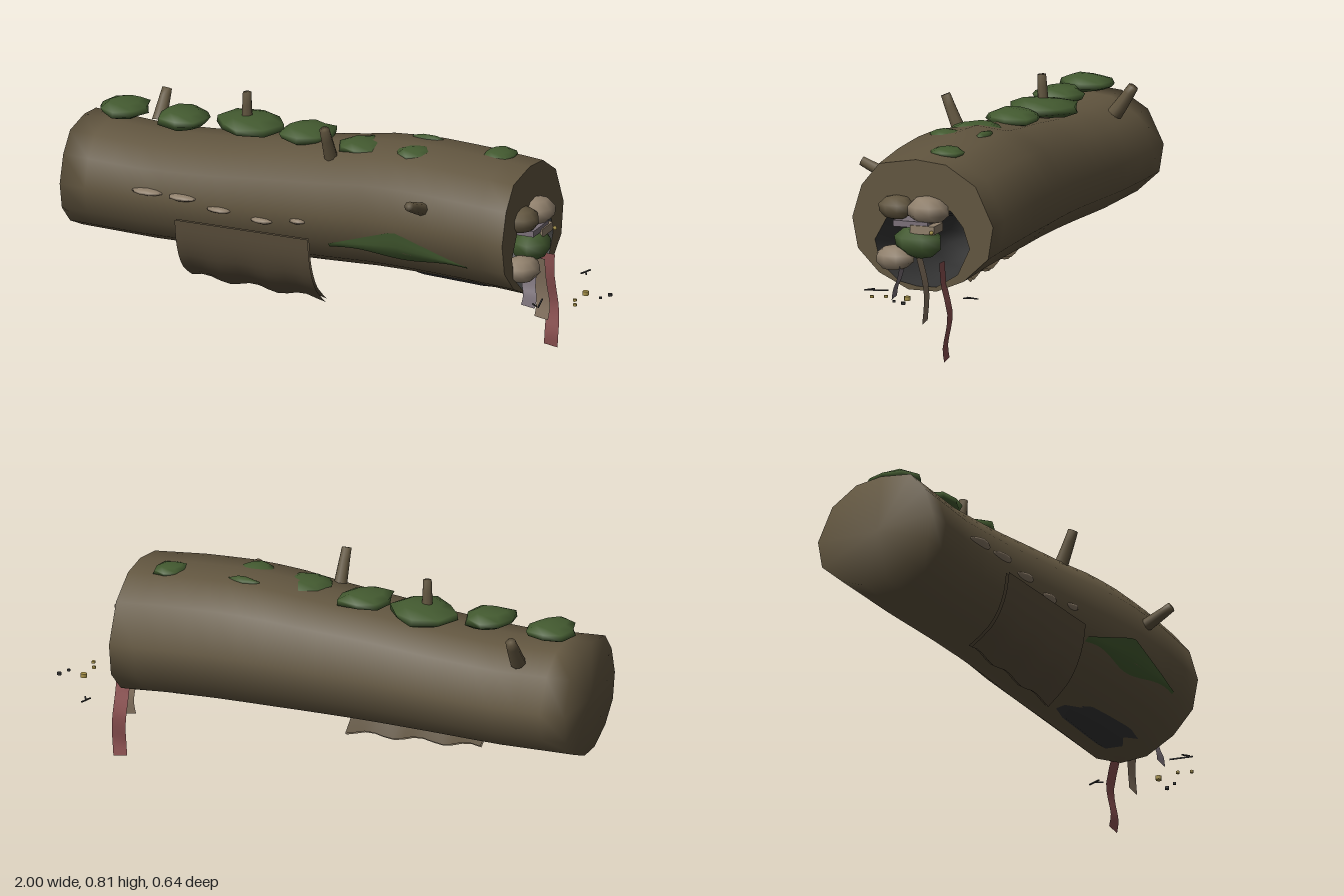
import * as THREE from 'three';
import { mergeVertices } from 'three/addons/utils/BufferGeometryUtils.js';

const mat = (name, color, side = THREE.FrontSide) => {
  const m = new THREE.MeshStandardMaterial({ color, side });
  m.name = name;
  return m;
};

// log profile stations: x, top y, bottom y, front z, back z
const stations = [
  [-1, 0.65, 0.248, 0.19, -0.28], [-0.7, 0.635, 0.24, 0.185, -0.263], [-0.45, 0.65, 0.246, 0.193, -0.26],
  [-0.2, 0.68, 0.253, 0.2, -0.27], [0, 0.7, 0.258, 0.21, -0.29], [0.15, 0.722, 0.262, 0.218, -0.312],
  [0.3, 0.73, 0.262, 0.228, -0.318], [0.5, 0.722, 0.256, 0.234, -0.316], [0.71, 0.705, 0.24, 0.225, -0.303],
];
// unit cross-section (z, y), starting at the upper front and going over the top to the back
const section = [[0.62, 0.9], [0.1, 1], [-0.33, 0.95], [-0.75, 0.65], [-1, 0.05], [-0.93, -0.45], [-0.58, -0.82],
  [-0.2, -1], [0.2, -1], [0.62, -0.77], [0.92, -0.42], [1, 0.05], [0.87, 0.55]];

function stationAt(x) {
  let k = 0;
  while (k < stations.length - 2 && x > stations[k + 1][0]) k++;
  const a = stations[k], b = stations[k + 1], t = (x - a[0]) / (b[0] - a[0]);
  return a.map((v, i) => v + (b[i] - v) * t);
}

function ringAt(x) {
  const [, top, bottom, front, back] = stationAt(x);
  return section.map(([u, v]) => [x, (top + bottom) / 2 + v * (top - bottom) / 2, (front + back) / 2 + u * (front - back) / 2]);
}

// z of the log's front surface at a given x and y
function frontZ(x, y) {
  const r = ringAt(x), side = [8, 9, 10, 11, 12, 0, 1].map((i) => r[i]);
  for (let i = 0; i < 6; i++) {
    const a = side[i], b = side[i + 1];
    if (y <= b[1]) return a[2] + (b[2] - a[2]) * (y - a[1]) / (b[1] - a[1]);
  }
  return side[6][2];
}

// skin over a series of rings, with the first ring closed
function loft(rings) {
  const n = rings[0].length, index = [];
  for (let k = 0; k < rings.length - 1; k++) {
    for (let i = 0; i < n; i++) {
      const a = k * n + i, b = k * n + (i + 1) % n;
      index.push(a, a + n, b, b, a + n, b + n);
    }
  }
  const points = rings.flat();
  const centre = [0, 1, 2].map((c) => rings[0].reduce((s, p) => s + p[c], 0) / n);
  points.push(centre);
  for (let i = 0; i < n; i++) index.push(points.length - 1, i, (i + 1) % n);
  const g = new THREE.BufferGeometry();
  g.setAttribute('position', new THREE.Float32BufferAttribute(points.flat(), 3));
  g.setIndex(index);
  g.computeVertexNormals();
  return g;
}

// lumpy low-poly ellipsoid
function lump(rx, ry, rz, seed, amount = 0.12, segments = 8) {
  let g = new THREE.SphereGeometry(1, segments, 5);
  g.deleteAttribute('uv');
  g.deleteAttribute('normal');
  g = mergeVertices(g, 1e-3);
  const p = g.attributes.position;
  for (let i = 0; i < p.count; i++) {
    const x = p.getX(i), y = p.getY(i), z = p.getZ(i);
    const s = 1 + amount * Math.sin(3.1 * x + 2.3 * z + 1.7 * y + seed * 2.4);
    p.setXYZ(i, x * s * rx, y * s * ry, z * s * rz);
  }
  g.computeVertexNormals();
  return g;
}

// bend a plane by a rule from (u, v), both 0 to 1, with v up
function sheet(nu, nv, rule) {
  const g = new THREE.PlaneGeometry(1, 1, nu, nv), p = g.attributes.position;
  for (let i = 0; i < p.count; i++) p.setXYZ(i, ...rule(p.getX(i) + 0.5, p.getY(i) + 0.5));
  g.computeVertexNormals();
  return g;
}

export function createModel() {
  const model = new THREE.Group();
  model.name = 'hollowLog';
  const bark = mat('bark', 0x61553f);
  const barkSheet = mat('barkSheet', 0x5a4e3b, THREE.DoubleSide);
  const moss = mat('moss', 0x435a30);
  const hollow = mat('hollow', 0x363636, THREE.DoubleSide);
  const tan = mat('tan', 0x8f7f6b);
  const grey = mat('greyCloth', 0x7a7078, THREE.DoubleSide);
  const red = mat('redCloth', 0x8a5050, THREE.DoubleSide);
  const tanCloth = mat('tanCloth', 0x857360, THREE.DoubleSide);
  const gold = mat('gold', 0xa8934a);
  const add = (name, geometry, material, x = 0, y = 0, z = 0) => {
    const m = new THREE.Mesh(geometry, material);
    m.name = name;
    m.position.set(x, y, z);
    model.add(m);
    return m;
  };

  // log body
  const rings = [];
  for (let i = 0; i <= 18; i++) rings.push(ringAt(-1 + 1.71 * i / 18));
  add('logBody', loft(rings), bark);

  // open end face with the hollow's mouth (z, y)
  const mouth = [[0.14, 0.41], [0.12, 0.33], [0.05, 0.268], [-0.02, 0.254], [-0.09, 0.256], [-0.17, 0.305],
    [-0.215, 0.4], [-0.19, 0.475], [-0.145, 0.53], [-0.03, 0.55], [0.08, 0.52]];
  const face = new THREE.Shape(ringAt(0.71).map(([, y, z]) => new THREE.Vector2(-z, y)));
  face.holes.push(new THREE.Path(mouth.map(([z, y]) => new THREE.Vector2(-z, y))));
  add('endFace', new THREE.ShapeGeometry(face).rotateY(Math.PI / 2), bark, 0.71);

  // tapering cavity, its floor worn through the underside
  const cavity = [[0.2, 0.55, 0.268], [0.32, 0.65, 0.249], [0.55, 0.85, 0.244], [0.71, 1, 0.254]];
  add('cavity', loft(cavity.map(([x, s, floor]) =>
    mouth.map(([z, y]) => [x, floor + (y - 0.254) * s, -0.045 + (z + 0.045) * s]))), hollow);

  // moss clumps along the top: x, y, z, radius x, height, radius z
  [[-0.86, 0.688, -0.05, 0.092, 0.03, 0.1], [-0.62, 0.688, -0.03, 0.094, 0.034, 0.1],
    [-0.385, 0.69, -0.07, 0.122, 0.034, 0.12], [-0.155, 0.696, -0.045, 0.104, 0.03, 0.105],
    [0.08, 0.697, 0.005, 0.085, 0.024, 0.09], [0.285, 0.708, 0.03, 0.07, 0.022, 0.065],
    [0.57, 0.709, -0.075, 0.06, 0.019, 0.07], [0.28, 0.718, -0.105, 0.055, 0.014, 0.02],
  ].forEach(([x, y, z, rx, ry, rz], i) => add('mossClump', lump(rx, ry, rz, i), moss, x, y, z));

  // moss patch on the front flank
  add('mossPatch', sheet(18, 4, (u, v) => {
    const x = 0.03 + 0.54 * u;
    const height = 0.012 + 0.093 * Math.max(0, 1 - Math.abs(x - 0.29) / 0.27);
    const y = 0.373 + 0.01 * Math.sin(u * 9) * (1 - v) + height * v;
    return [x, y, frontZ(x, y) + 0.004];
  }), moss);

  // broken branch stubs
  [[[-0.785, 0.6, -0.18], [-0.785, 0.655, -0.22], [-0.785, 0.702, -0.25], 0.028],
    [[-0.395, 0.62, -0.065], [-0.395, 0.72, -0.063], [-0.393, 0.806, -0.058], 0.024],
    [[0, 0.64, 0.085], [0, 0.71, 0.118], [-0.003, 0.793, 0.152], 0.027],
    [[0.395, 0.56, 0.17], [0.395, 0.585, 0.24], [0.392, 0.617, 0.312], 0.026],
  ].forEach(([a, b, c, r]) => {
    const curve = new THREE.QuadraticBezierCurve3(...[a, b, c].map((p) => new THREE.Vector3(...p)));
    const stub = [0, 1, 2, 3, 4].map((k) => {
      const t = 1 - k / 4, o = curve.getPoint(t), d = curve.getTangent(t).negate();
      const side = new THREE.Vector3(1, 0, 0), up = new THREE.Vector3().crossVectors(d, side).normalize();
      return Array.from({ length: 8 }, (_, i) => {
        const angle = -i * Math.PI / 4, q = r * (1 - 0.33 * t);
        return o.clone().addScaledVector(side, q * Math.cos(angle)).addScaledVector(up, q * Math.sin(angle)).toArray();
      });
    });
    add('branchStub', loft(stub), bark);
  });

  // shelf fungi on the front flank
  [[-0.67, 0.475, 0.06], [-0.53, 0.474, 0.055], [-0.39, 0.452, 0.046], [-0.225, 0.436, 0.047], [-0.085, 0.456, 0.032]]
    .forEach(([x, y, r], i) => add('shelfFungus', lump(r, 0.011, 0.03, i, 0.06, 10), tan, x, y, frontZ(x, y) + 0.002 - i * 0.003));

  // peeling bark flap: inner and outer skins
  const curl = new THREE.CatmullRomCurve3([[0.14, 0.07], [0.2, 0.15], [0.26, 0.19], [0.33, 0.214], [0.402, 0.224]]
    .map(([y, z]) => new THREE.Vector3(0, y, z)));
  for (const [name, inset] of [['barkFlapOuter', 0], ['barkFlapInner', 0.012]]) {
    add(name, sheet(14, 8, (u, v) => {
      const p = curl.getPoint(v), ragged = (1 - v) ** 2;
      const dy = (0.02 * (0.5 - u) + 0.009 * Math.sin(u * 17)) * ragged;
      return [-0.545 + 0.51 * u, p.y + dy + inset * (1 - v) * 0.7, p.z - inset];
    }), barkSheet);
  }

  // bundles stuffed in the mouth
  add('barkBundle', lump(0.06, 0.044, 0.068, 1, 0.05, 9), bark, 0.715, 0.533, 0.058);
  add('tanBundle', lump(0.065, 0.05, 0.076, 2, 0.05, 9), tan, 0.716, 0.53, -0.062);
  add('lowerTanBundle', lump(0.062, 0.045, 0.074, 3, 0.05, 9), tan, 0.716, 0.352, 0.062);
  add('mossBundle', lump(0.068, 0.058, 0.09, 4, 0.08, 7), moss, 0.715, 0.415, -0.025);
  add('greyBand', new THREE.BoxGeometry(0.09, 0.022, 0.13), grey, 0.71, 0.482, -0.01);
  add('tanBand', new THREE.BoxGeometry(0.09, 0.03, 0.09), tan, 0.715, 0.465, -0.055);
  add('clasp', new THREE.SphereGeometry(0.008, 6, 4), gold, 0.77, 0.46, -0.095);

  // hanging cloth strips, edge-on to the end: path points (y, z)
  const strip = (name, material, path) => {
    const curve = new THREE.CatmullRomCurve3(path.map(([y, z]) => new THREE.Vector3(0, y, z)));
    add(name, sheet(1, 10, (u, v) => {
      const p = curve.getPoint(1 - v);
      return [0.708 + 0.052 * u + 0.005 * Math.sin(v * 6), p.y + (u - 0.5) * -0.008 * (1 - v) + 0.002, p.z];
    }), material);
  };
  strip('redStrip', red, [[0.35, -0.12], [0.27, -0.125], [0.17, -0.15], [0.11, -0.146], [0.05, -0.135], [0.002, -0.139]]);
  strip('tanStrip', tanCloth, [[0.36, -0.035], [0.25, -0.06], [0.19, -0.064], [0.13, -0.057]]);
  strip('greyStrip', grey, [[0.35, 0.025], [0.28, 0.04], [0.25, 0.05], [0.21, 0.058]]);

  // scattered trinkets and twigs
  [[0.905, -0.057, 0.012], [0.9, 0.025, 0.007], [0.92, 0.07, 0.007], [0.972, -0.033, 0.006], [0.99, -0.075, 0.008]]
    .forEach(([x, z, r], i) => add('trinket', new THREE.CylinderGeometry(r, r, r * 1.2, 6), i > 2 ? hollow : gold, x, 0.25, z));
  [[0.8, 0.1, 0.085, 0.25], [0.812, -0.265, 0.05, -0.3], [0.82, -0.25, 0.03, 0.5], [0.79, 0.125, 0.03, 0.9]]
    .forEach(([x, z, length, turn]) => { add('twig', new THREE.BoxGeometry(0.005, 0.004, length), hollow, x, 0.248, z).rotation.y = turn; });

  return model;
}
